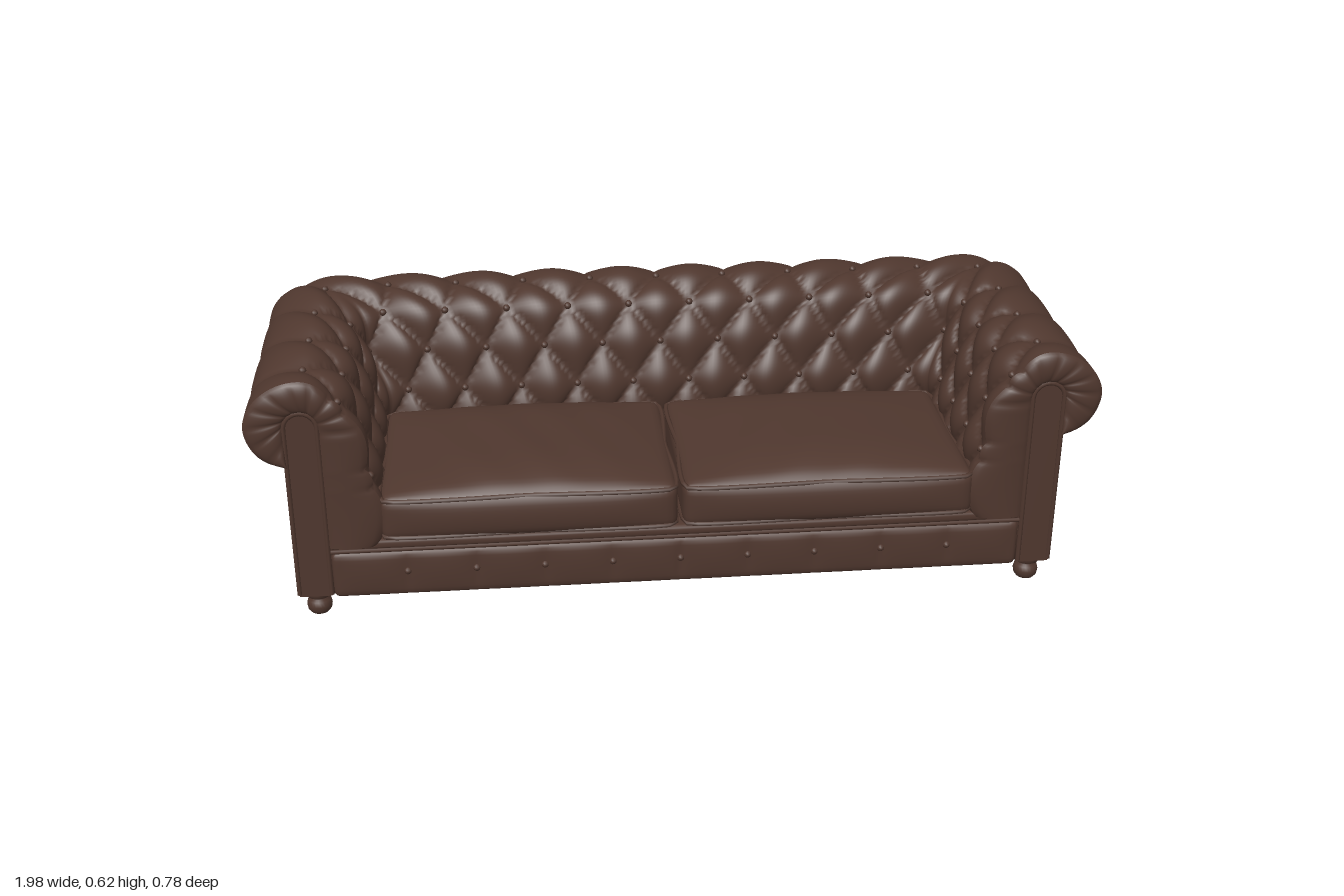
import * as THREE from 'three';
import { mergeVertices } from 'three/addons/utils/BufferGeometryUtils.js';

const leather = new THREE.MeshStandardMaterial({ color: 0x4f372e });
leather.name = 'brown leather';

const CORNER = 5;        // tuft columns from the middle to a back corner
const END = 8.625;       // tuft columns from the middle to the arm front
const FRONT = 0.37;      // z of the arm front
const TOP = 57 / 96;     // profile position of the top button row
const ROW = 1 / 8;       // profile distance between button rows
const { abs, sin, cos, PI, pow, max, min, sign } = Math;

// Cross-section of back and arms: outward offset and height
const profile = new THREE.CatmullRomCurve3([
  [0, 0.19], [0, 0.33], [0.02, 0.42], [0.04, 0.5], [0.07, 0.56], [0.12, 0.595], [0.17, 0.603],
  [0.22, 0.59], [0.265, 0.555], [0.285, 0.505], [0.27, 0.45], [0.24, 0.42], [0.19, 0.405],
].map(([d, y]) => new THREE.Vector3(d, y, 0)));

// Smooth grid surface from a function of u and v
function surface(fn, nu, nv) {
  const pos = [], index = [];
  for (let j = 0; j <= nv; j++)
    for (let i = 0; i <= nu; i++) pos.push(...fn(i / nu, j / nv));
  for (let j = 0; j < nv; j++)
    for (let i = 0; i < nu; i++) {
      const a = j * (nu + 1) + i, b = a + nu + 1;
      index.push(a, a + 1, b + 1, a, b + 1, b);
    }
  const g = new THREE.BufferGeometry();
  g.setAttribute('position', new THREE.Float32BufferAttribute(pos, 3));
  g.setIndex(index);
  g.computeVertexNormals();
  return g;
}

// Box with rounded edges, then reshaped by an optional rule
function softBox(w, h, d, r, segs, deform) {
  let g = new THREE.BoxGeometry(w, h, d, ...segs);
  g.deleteAttribute('uv');
  g.deleteAttribute('normal');
  g = mergeVertices(g, 1e-5);
  const p = g.attributes.position, v = new THREE.Vector3(), c = new THREE.Vector3();
  const half = new THREE.Vector3(w / 2 - r, h / 2 - r, d / 2 - r);
  for (let i = 0; i < p.count; i++) {
    v.fromBufferAttribute(p, i);
    c.copy(v).clamp(half.clone().negate(), half);
    v.sub(c);
    if (v.length() > 0) v.setLength(r);
    v.add(c);
    if (deform) deform(v, v.x / w * 2, v.y / h * 2, v.z / d * 2);
    p.setXYZ(i, v.x, v.y, v.z);
  }
  g.computeVertexNormals();
  return g;
}

// Puffed diamonds inside, straight pleats over the outer roll
function puff(a, t) {
  const b = (TOP - t) / ROW;
  if (b >= 0) return pow(abs(sin(PI * (a + b / 2)) * sin(PI * (a - b / 2))), 0.6);
  return pow(abs(sin(PI * a)), max(0.2, 1.2 + b * 0.7));
}

// Point on the tufted upholstery, mitred and rounded at the back corners
function tuft(a, t, lift = 0) {
  const p = profile.getPointAt(t), n = profile.getTangentAt(t);
  const fade = t < TOP ? 1 : max(0.4, 1 - (t - TOP) * 4);
  const k = 0.026 * fade * (puff(a, t) - 0.5) + lift;
  const d = p.x - n.y * k, y = p.y + n.x * k;
  const A = abs(a), W = 0.7 + d, B = -0.1 - d;
  let x = A <= CORNER ? W * A / CORNER : W;
  let z = A <= CORNER ? B : B + (FRONT - B) * (A - CORNER) / (END - CORNER);
  const r = 0.12 * min(1, max(0, (d - 0.1) / 0.15));
  const ex = x - (W - r), ez = B + r - z;
  if (ex > 0 && ez > 0) {
    const f = max(ex, ez) / Math.hypot(ex, ez);
    x = W - r + ex * f;
    z = B + r - ez * f;
  }
  return [x * sign(a), y, z];
}

// Outline of the arm front panel: up the inside, over the top, down the outside
function panelEdge(t) {
  if (t < 0.39) return [0.825, 0.19 + 0.31 * t / 0.39];
  if (t < 0.9) {
    const q = PI * (1 - (t - 0.39) / 0.51);
    return [0.8625 + 0.0375 * cos(q), 0.5 + 0.0375 * sin(q)];
  }
  return [0.9, 0.5 - 0.095 * (t - 0.9) / 0.1];
}

export function createModel() {
  const sofa = new THREE.Group();
  sofa.name = 'tuftedSofa';
  const add = (name, geometry, x = 0, y = 0, z = 0) => {
    const m = new THREE.Mesh(geometry, leather);
    m.name = name;
    m.position.set(x, y, z);
    sofa.add(m);
    return m;
  };
  const box = (name, w, h, d, x, y, z) => add(name, softBox(w, h, d, 0.004, [4, 4, 4]), x, y, z);
  const piping = (name, pts, r, closed = false) => add(name, new THREE.TubeGeometry(
    new THREE.CatmullRomCurve3(pts.map(p => new THREE.Vector3(...p)), closed, 'catmullrom', 0.2), 90, r, 6, closed));

  // Tufted back and arms in one sweep
  add('tuftedUpholstery', surface((u, v) => {
    const a = (u * 276 - 138) / 16;
    return tuft(a, v);
  }, 276, 96));

  // Tuft buttons
  const button = new THREE.SphereGeometry(0.009, 10, 6);
  for (let row = 0; row < 4; row++)
    for (let a = -8 - (row % 2) / 2; a <= 8.5; a++)
      add('tuftButton', button, ...tuft(a, TOP - row * ROW, 0.004));

  // Arm fronts
  for (const s of [1, -1]) {
    // Pleated pad wrapped around the panel
    add('armFrontPad', surface((u, t) => {
      const w = s > 0 ? u : 1 - u;
      const o = tuft(END, t), e = panelEdge(t);
      const pleat = t > 0.36 ? 0.004 * pow(abs(sin(PI * 16 * t)), 0.5) - 0.004 : 0;
      const bulge = pow(max(0, sin(PI * w)), 0.5);
      return [s * (o[0] + (e[0] - o[0]) * w), o[1] + (e[1] - o[1]) * w, FRONT + (0.016 + pleat) * bulge];
    }, 14, 96));

    // Upright panel with a round head
    const shape = new THREE.Shape();
    shape.moveTo(-0.0375, 0.06);
    shape.lineTo(0.0375, 0.06);
    shape.lineTo(0.0375, 0.5);
    shape.absarc(0, 0.5, 0.0375, 0, PI, false);
    shape.closePath();
    add('armFrontPanel', new THREE.ExtrudeGeometry(shape, { depth: 0.03, bevelEnabled: false, curveSegments: 16 }),
      s * 0.8625, 0, 0.341);

    const edge = [[s * 0.825, 0.065, 0.372]];
    for (let i = 0; i <= 40; i++) edge.push([s * panelEdge(i / 40)[0], panelEdge(i / 40)[1], 0.372]);
    edge.push([s * 0.9, 0.065, 0.368]);
    piping('armPanelPiping', edge, 0.006);

    box('sidePanel', 0.1, 0.36, 0.66, s * 0.85, 0.24, 0.035);
  }

  // Back panels with fine seams between them
  for (const i of [-1, 0, 1]) box('backPanel', 0.599, 0.36, 0.08, i * 0.6, 0.24, -0.26);

  // Seat base, underside and front rail
  box('seatBase', 1.66, 0.135, 0.6, 0, 0.1275, 0.06);
  box('underside', 1.64, 0.03, 0.58, 0, 0.063, 0.03);
  const step = 0.161;
  add('frontRail', softBox(1.64, 0.12, 0.06, 0.015, [160, 12, 6], (v, nx, ny, nz) => {
    if (nz > 0) v.z += 0.007 * (1 - ny * ny) * (pow(abs(sin(PI * v.x / step)), 0.4) - 0.3);
  }), 0, 0.113, 0.345);
  add('railTop', softBox(1.64, 0.026, 0.06, 0.01, [8, 6, 6]), 0, 0.19, 0.342);
  piping('railPiping', [[-0.82, 0.176, 0.37], [0, 0.176, 0.37], [0.82, 0.176, 0.37]], 0.005);
  for (let i = -4; i <= 4; i++) add('railButton', button, i * step, 0.12, 0.374);

  // Two crowned seat cushions with piped edges
  for (const s of [1, -1]) {
    add('seatCushion', softBox(0.695, 0.115, 0.485, 0.025, [48, 12, 36], (v, nx, ny, nz) => {
      const crown = (1 - nx * nx) * (1 - pow(abs(nz), 4));
      if (ny > 0) v.y += ny * (0.038 * crown + 0.0015 * sin(14 * nx * s + 5 * nz) * crown);
      if (nz > 0) v.z += 0.012 * nz * (1 - ny * ny) * (1 - pow(nx, 4));
    }), s * 0.353, 0.258, 0.14);
    for (const y of [0.213, 0.307]) {
      const x0 = s * 0.353, hx = 0.337, z0 = -0.092, z1 = 0.377;
      const loop = [];
      for (const [cx, cz] of [[-1, 1], [0, 1], [1, 1], [1, 0], [1, -1], [0, -1], [-1, -1], [-1, 0]])
        loop.push([x0 + cx * hx, y, cz > 0 ? z1 : cz < 0 ? z0 : 0.14]);
      piping('cushionPiping', loop, 0.006, true);
    }
  }

  // Turned feet
  const foot = new THREE.LatheGeometry([
    [0, 0], [0.022, 0], [0.028, 0.008], [0.03, 0.02], [0.027, 0.032], [0.02, 0.037],
    [0.022, 0.042], [0.03, 0.045], [0.031, 0.058], [0.029, 0.064],
  ].map(p => new THREE.Vector2(...p)), 24);
  for (const x of [-0.86, 0.86])
    for (const z of [0.33, -0.257]) add('foot', foot, x, 0, z);

  return sofa;
}
